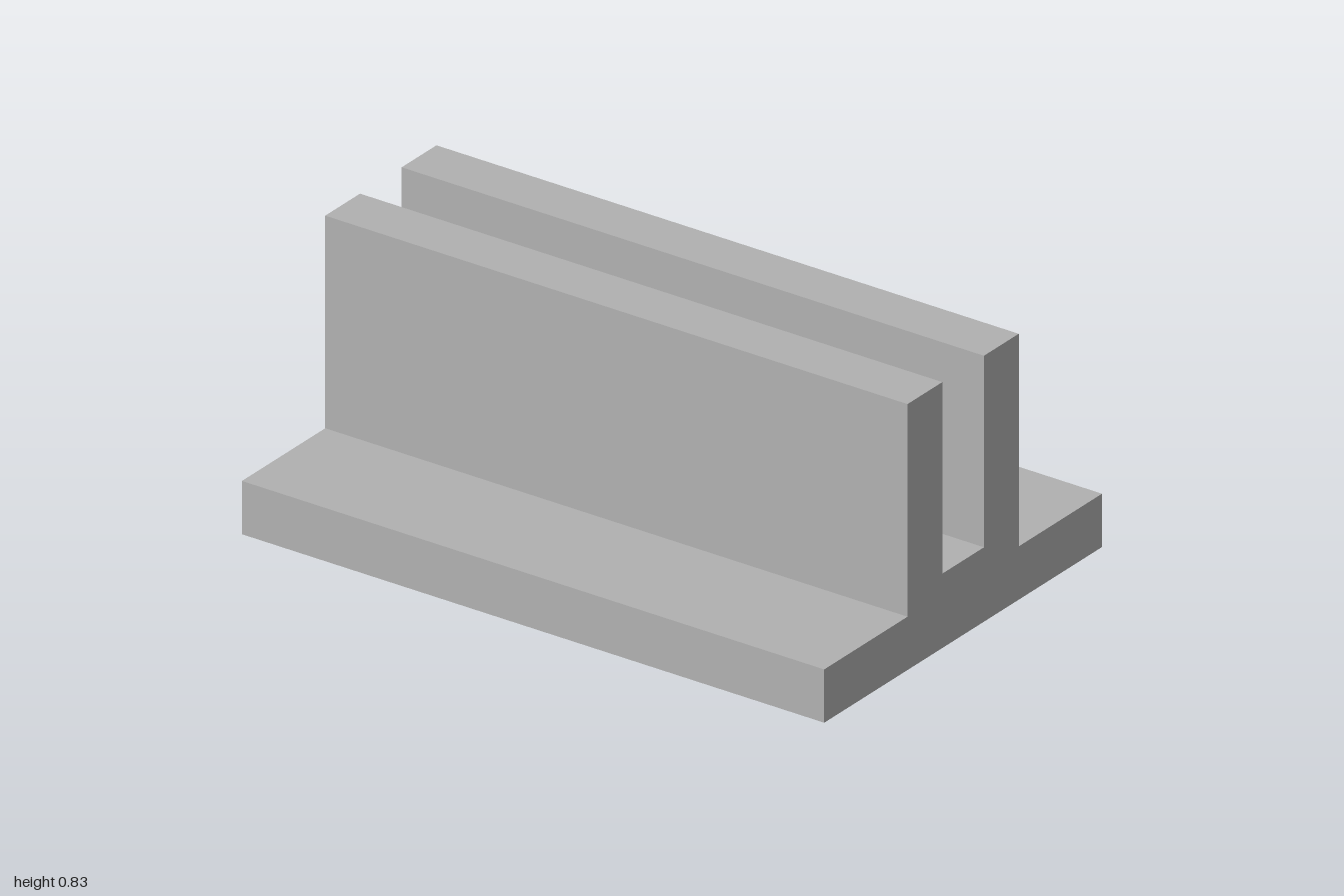
import * as THREE from 'three';

export function createModel() {
  const model = new THREE.Group();
  model.name = 'slottedRail';
  const grey = new THREE.MeshStandardMaterial({ color: 0xb2b2b2 });
  grey.name = 'plain grey';

  // Half of the cross-section: [distance from the middle, height]
  const half = [
    [0.667, 0], [0.667, 0.167],     // base flange
    [0.267, 0.167], [0.267, 0.833], // outer wall face
    [0.1, 0.833], [0.1, 0.233],     // wall top and slot floor
  ];
  const mirrored = half.map(([d, y]) => [-d, y]).reverse();
  const outline = [...half, ...mirrored].map(([d, y]) => new THREE.Vector2(d, y));

  // Base, twin walls and slot run as one solid along x
  const length = 2;
  const geometry = new THREE.ExtrudeGeometry(new THREE.Shape(outline), {
    depth: length, bevelEnabled: false,
  });
  geometry.translate(0, 0, -length / 2);
  geometry.rotateY(Math.PI / 2);

  const rail = new THREE.Mesh(geometry, grey);
  rail.name = 'baseWithTwinWalls';
  model.add(rail);
  return model;
}
